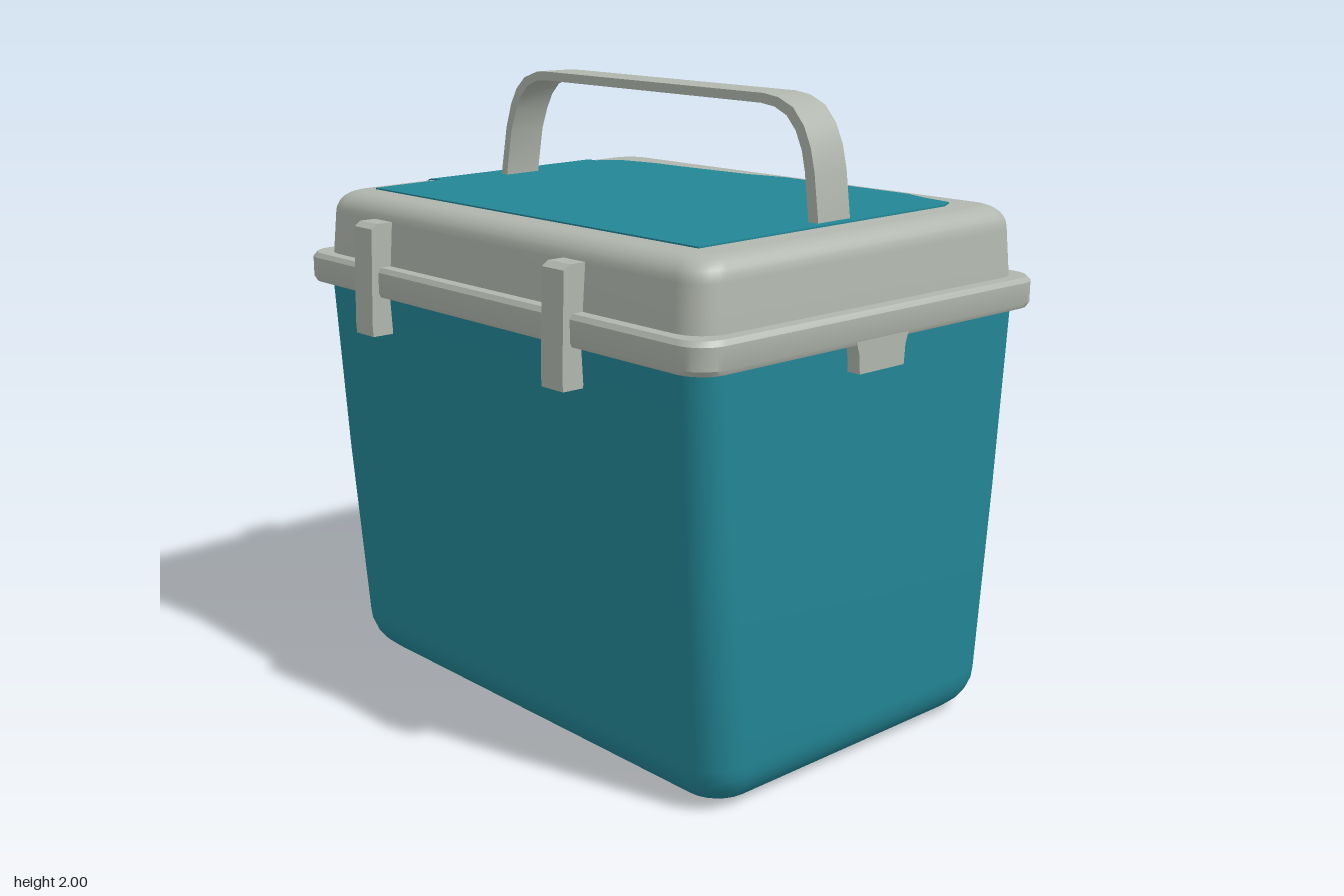
import * as THREE from 'three';
import { toCreasedNormals } from 'three/addons/utils/BufferGeometryUtils.js';

const teal = new THREE.MeshStandardMaterial({ name: 'teal plastic', color: 0x238696 });
const grey = new THREE.MeshStandardMaterial({ name: 'pale grey plastic', color: 0xb0b6ad });

// Closed loft through horizontal rounded rectangles: [y, xMin, xMax, zMin, zMax, radius]
function loft(levels, seg = 6) {
  const pos = [], idx = [], n = 4 * (seg + 1);
  for (const [y, x0, x1, z0, z1, r] of levels) {
    const corners = [[x1 - r, z1 - r], [x0 + r, z1 - r], [x0 + r, z0 + r], [x1 - r, z0 + r]];
    corners.forEach(([cx, cz], q) => {
      for (let k = 0; k <= seg; k++) {
        const a = (q + k / seg) * Math.PI / 2;
        pos.push(cx + r * Math.cos(a), y, cz + r * Math.sin(a));
      }
    });
  }
  const last = (levels.length - 1) * n, bottom = pos.length / 3, top = bottom + 1;
  for (const [y, x0, x1, z0, z1] of [levels[0], levels[levels.length - 1]])
    pos.push((x0 + x1) / 2, y, (z0 + z1) / 2);
  for (let j = 0; j < n; j++) {
    const k = (j + 1) % n;
    for (let i = 0; i < last; i += n)
      idx.push(i + j, i + n + j, i + k, i + k, i + n + j, i + n + k);
    idx.push(bottom, j, k, top, last + k, last + j);
  }
  const g = new THREE.BufferGeometry();
  g.setAttribute('position', new THREE.Float32BufferAttribute(pos, 3));
  g.setIndex(idx);
  return g;
}

// The lid top rises slightly towards the back
function tilt(g) {
  const p = g.attributes.position;
  for (let i = 0; i < p.count; i++) {
    const t = Math.max(0, (p.getY(i) - 1.42) / 0.21);
    p.setY(i, p.getY(i) - t * p.getZ(i) * 0.012);
  }
  return g;
}

function extrude(points, depth) {
  const shape = new THREE.Shape(points.map(([x, y]) => new THREE.Vector2(x, y)));
  return new THREE.ExtrudeGeometry(shape, { depth, bevelEnabled: false });
}

export function createModel() {
  const model = new THREE.Group();
  model.name = 'coolBox';
  const add = (name, geometry, material, crease = 0.6) => {
    const mesh = new THREE.Mesh(toCreasedNormals(geometry, crease), material);
    mesh.name = name;
    model.add(mesh);
    return mesh;
  };

  // Tapered tub with a rounded bottom edge
  const tub = [];
  for (let i = 0; i <= 6; i++) {
    const a = i / 6 * Math.PI / 2, s = 1 - Math.sin(a);
    tub.push([0.14 * (1 - Math.cos(a)), -0.915 + 0.12 * s, 0.91 - 0.12 * s,
      -0.637 + 0.11 * s, 0.598 - 0.12 * s, 0.12 - 0.03 * s]);
  }
  tub.push([0.75, -0.92, 0.912, -0.685, 0.643, 0.11], [1.36, -0.92, 0.915, -0.722, 0.68, 0.1]);
  add('tub', loft(tub), teal);

  // Rim band
  add('rim', loft([
    [1.325, -0.96, 0.955, -0.74, 0.712, 0.09],
    [1.34, -0.967, 0.962, -0.747, 0.718, 0.09],
    [1.405, -0.967, 0.962, -0.747, 0.718, 0.09],
    [1.42, -0.957, 0.952, -0.737, 0.708, 0.09],
  ]), grey, 0.5);

  // Lid with a rounded top edge
  const lidAt = (y, s) => [y, -0.922 + s, 0.912 - s, -0.712 + s, 0.672 - s, 0.1 - s * 0.4];
  const lidProfile = [[1.4, 0]];
  for (let i = 0; i <= 6; i++) {
    const a = i / 6 * Math.PI / 2;
    lidProfile.push([1.56 + 0.07 * Math.sin(a), 0.012 + 0.07 * (1 - Math.cos(a))]);
  }
  add('lid', tilt(loft(lidProfile.map(([y, s]) => lidAt(y, s)))), grey);

  // Coloured panel on the lid, with its uneven back edge
  const panel = extrude([[-0.8, -0.53], [0.755, -0.53], [0.765, 0.5], [0.74, 0.55], [0.62, 0.57],
    [0.54, 0.595], [0, 0.595], [-0.15, 0.56], [-0.4, 0.54], [-0.6, 0.53], [-0.75, 0.5],
    [-0.8, 0.45]], 0.006);
  panel.rotateX(-Math.PI / 2).translate(0, 1.629, 0);
  add('lidPanel', tilt(panel), teal);

  // Coloured strip wrapping over one end of the lid
  const outer = lidProfile.map(([y, s], i) => {
    const a = Math.max(0, i - 1) / 6 * Math.PI / 2;
    return [-0.922 + s - 0.005 * Math.cos(a), y + 0.005 * Math.sin(a)];
  });
  const inner = lidProfile.map(([y, s]) => [-0.922 + s, y]).reverse();
  const strip = extrude([...outer, [-0.795, 1.635], [-0.795, 1.63], ...inner], 0.7);
  add('lidEndStrip', tilt(strip.translate(0, 0, -0.43)), teal);

  // Carrying handle
  const handle = extrude([[-0.775, 1.6], [-0.765, 1.65], [-0.735, 1.8], [-0.707, 1.88], [-0.675, 1.935],
    [-0.63, 1.975], [-0.56, 1.998], [-0.5, 2], [0.5, 1.993], [0.56, 1.985], [0.62, 1.96], [0.665, 1.91],
    [0.693, 1.85], [0.71, 1.78], [0.727, 1.65], [0.73, 1.6], [0.692, 1.6], [0.688, 1.65], [0.672, 1.78],
    [0.658, 1.84], [0.632, 1.895], [0.595, 1.935], [0.545, 1.957], [0.49, 1.964], [-0.5, 1.971],
    [-0.56, 1.968], [-0.615, 1.947], [-0.652, 1.91], [-0.68, 1.86], [-0.708, 1.79], [-0.735, 1.65],
    [-0.74, 1.6]], 0.137);
  add('handle', handle.translate(0, 0, -0.107), grey);

  // Front latches: side profile swept across x
  for (const [name, x] of [['rightLatch', -0.565], ['leftLatch', 0.387]]) {
    const g = extrude([[0.655, 1.56], [0.655, 1.4], [0.672, 1.2], [0.745, 1.2],
      [0.747, 1.24], [0.737, 1.545], [0.715, 1.56]], 0.096);
    add(name, g.rotateY(-Math.PI / 2).translate(x + 0.048, 0, 0), grey, 0.3);
  }

  // Tabs below the rim at both ends
  for (const side of [-1, 1]) {
    const g = extrude([[-0.095, 1.24], [0.095, 1.24], [0.1, 1.3], [0.115, 1.345], [-0.115, 1.345],
      [-0.1, 1.3]], 0.07);
    g.rotateY(-Math.PI / 2).translate(side < 0 ? -0.893 : 0.96, 0, 0);
    add(side < 0 ? 'rightTab' : 'leftTab', g, grey, 0.3);
  }
  return model;
}
